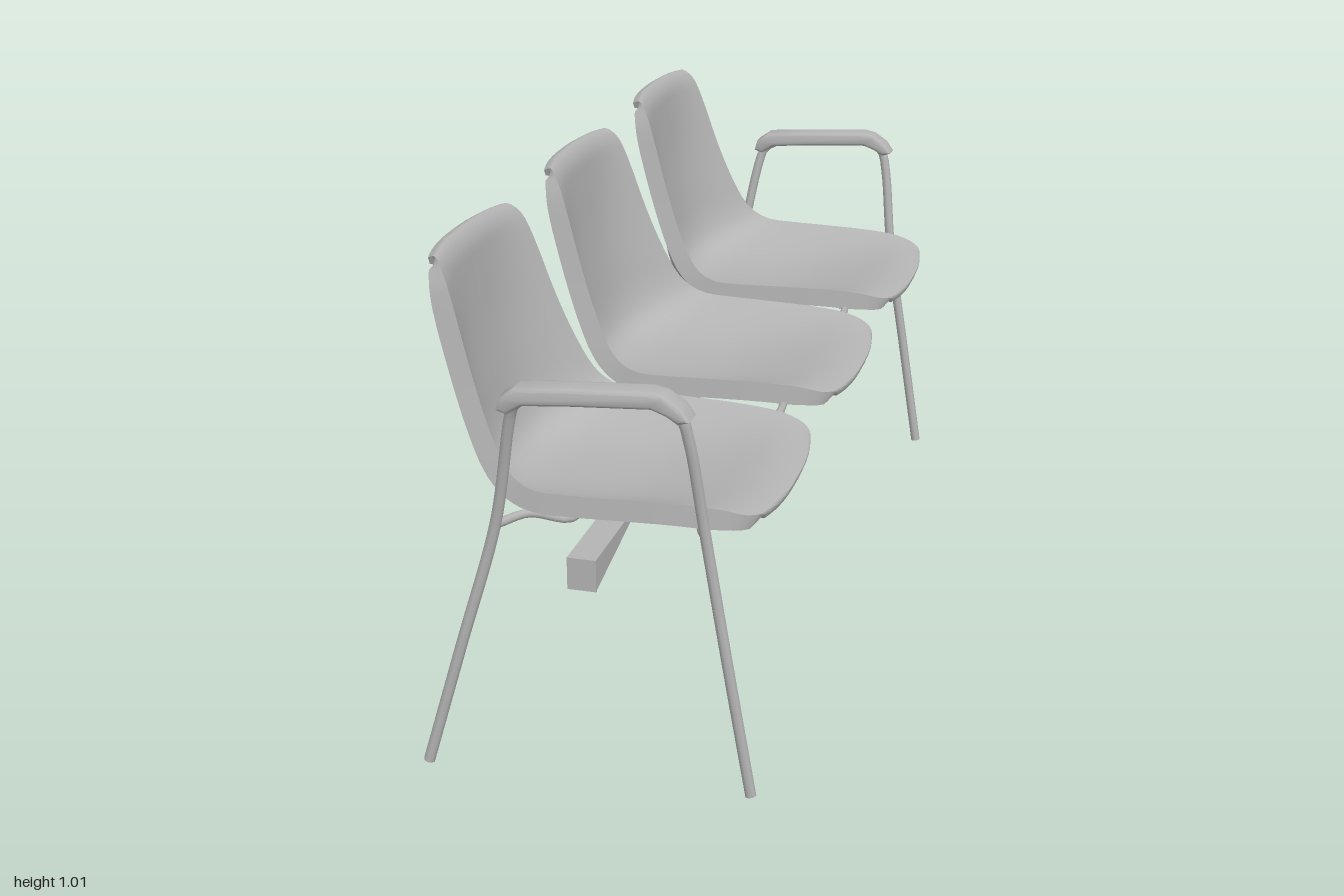
import * as THREE from 'three';
import { toCreasedNormals } from 'three/addons/utils/BufferGeometryUtils.js';

const grey = new THREE.MeshStandardMaterial({ color: 0xb4b4b4, side: THREE.DoubleSide });
grey.name = 'grey';

const V = (x, y, z) => new THREE.Vector3(x, y, z);

function part(name, geometry) {
  const mesh = new THREE.Mesh(geometry, grey);
  mesh.name = name;
  return mesh;
}

function rod(name, points, radius = 0.01, segments = 40) {
  const curve = new THREE.CatmullRomCurve3(points.map(p => V(...p)), false, 'centripetal');
  return part(name, new THREE.TubeGeometry(curve, segments, radius, 8));
}

// Moulded shell: sections from the rolled top lip down the back to the front lip.
// Each row: centre x, centre y, rim x, rim y, half width.
function shellGeometry() {
  const rows = [
    [-0.348, 1.0, -0.33, 0.995, 0.17], [-0.325, 1.01, -0.308, 1.004, 0.188],
    [-0.306, 0.985, -0.285, 0.98, 0.21], [-0.3, 0.94, -0.265, 0.93, 0.222],
    [-0.29, 0.82, -0.225, 0.8, 0.24], [-0.275, 0.7, -0.188, 0.7, 0.257],
    [-0.26, 0.6, -0.155, 0.635, 0.27], [-0.238, 0.55, -0.125, 0.606, 0.278],
    [-0.19, 0.525, -0.09, 0.592, 0.28], [-0.08, 0.52, -0.03, 0.589, 0.277],
    [0.05, 0.526, 0.06, 0.589, 0.27], [0.18, 0.548, 0.18, 0.588, 0.26],
    [0.27, 0.565, 0.26, 0.582, 0.25], [0.32, 0.564, 0.305, 0.57, 0.235],
    [0.347, 0.555, 0.328, 0.56, 0.2], [0.343, 0.54, 0.326, 0.545, 0.185],
  ];
  const centre = new THREE.CatmullRomCurve3(rows.map(r => V(r[0], r[1], 0)), false, 'centripetal');
  const rim = new THREE.CatmullRomCurve3(rows.map(r => V(r[2], r[3], r[4])), false, 'centripetal');
  const M = 45, N = 16, loop = 2 * N + 4, pos = [], idx = [];
  for (let i = 0; i <= M; i++) {
    const t = i / M;
    const c = centre.getPoint(t), r = rim.getPoint(t);
    const tc = centre.getTangent(t), tr = rim.getTangent(t);
    tr.z = 0;
    tr.normalize();
    const flange = 0.012 + 0.03 * Math.min(1, Math.sin(Math.PI * t) * 1.6);
    const point = (v, depth, inset) => {
      const k = Math.pow(Math.abs(v), 2.6);
      const out = tc.clone().lerp(tr, k).normalize();
      pos.push(c.x + (r.x - c.x) * k + out.y * depth,
        c.y + (r.y - c.y) * k - out.x * depth, (r.z + inset) * v);
    };
    for (let j = 0; j <= N; j++) point(-1 + 2 * j / N, 0, 0);
    point(1, flange, 0.004);
    for (let j = N; j >= 0; j--) point(-1 + 2 * j / N, 0.012, -0.01);
    point(-1, flange, 0.004);
  }
  for (let i = 0; i < M; i++) for (let j = 0; j < loop; j++) {
    const a = i * loop + j, b = i * loop + (j + 1) % loop;
    idx.push(a, b, a + loop, b, b + loop, a + loop);
  }
  // Close the two lips
  for (let j = 0; j < N; j++) {
    const a = j, b = j + 1, d = 2 * N + 2 - j, e = d - 1, o = M * loop;
    idx.push(a, d, b, b, d, e, o + a, o + b, o + d, o + b, o + e, o + d);
  }
  const g = new THREE.BufferGeometry();
  g.setAttribute('position', new THREE.Float32BufferAttribute(pos, 3));
  g.setIndex(idx);
  return toCreasedNormals(g, 0.9);
}

// Armrest pad: side outline with bevelled edges
function armrestGeometry() {
  const outline = [[-0.132, 0.778], [-0.127, 0.795], [-0.1, 0.814], [0, 0.822], [0.15, 0.831],
    [0.175, 0.826], [0.205, 0.806], [0.217, 0.79], [0.205, 0.787], [0.185, 0.8], [0.155, 0.811],
    [0, 0.801], [-0.09, 0.793], [-0.12, 0.774]];
  const shape = new THREE.Shape(outline.map(p => new THREE.Vector2(...p)));
  const g = new THREE.ExtrudeGeometry(shape, {
    depth: 0.032, bevelEnabled: true, bevelThickness: 0.011, bevelSize: 0.007, bevelSegments: 3,
  });
  g.translate(0, 0, -0.016);
  return toCreasedNormals(g, 0.8);
}

export function createModel() {
  const model = new THREE.Group();
  model.name = 'threeSeatBench';
  const pitch = 0.65;
  const shell = shellGeometry();

  // Seats, each with a clamp and stays below
  for (const z of [-pitch, 0, pitch]) {
    const seat = new THREE.Group();
    seat.name = 'seat';
    seat.position.z = z;
    seat.add(part('seatShell', shell));

    const clampGeometry = new THREE.CylinderGeometry(0.085, 0.055, 0.06, 4, 1).rotateY(Math.PI / 4);
    const clamp = part('clamp', toCreasedNormals(clampGeometry, 0.5));
    clamp.position.set(-0.015, 0.482, 0);
    clamp.scale.x = 0.65;
    seat.add(clamp);

    for (const s of [-1, 1]) {
      seat.add(rod('rearStay', [[-0.17, 0.513, s * 0.15], [-0.13, 0.488, s * 0.1],
        [-0.07, 0.483, s * 0.05], [-0.03, 0.46, 0]], 0.01, 14));
    }
    model.add(seat);
  }

  // Front and rear rails bow inwards and down beneath each seat
  const front = [[0.235, 0.545, -0.93]], rear = [[-0.172, 0.515, -0.93], [-0.13, 0.512, -0.86]];
  for (const z of [-pitch, 0, pitch]) {
    front.push([0.225, 0.54, z - 0.26], [0.205, 0.531, z - 0.2], [0.1, 0.505, z - 0.12],
      [0.025, 0.465, z - 0.03], [0.025, 0.465, z + 0.03],
      [0.1, 0.505, z + 0.12], [0.205, 0.531, z + 0.2], [0.225, 0.54, z + 0.26]);
    rear.push([-0.055, 0.533, z - (z < 0 ? 0.2 : 0.27)], [-0.05, 0.5, z - 0.13], [-0.045, 0.47, z - 0.04],
      [-0.045, 0.47, z + 0.04], [-0.05, 0.5, z + 0.13], [-0.055, 0.533, z + (z > 0 ? 0.2 : 0.27)]);
  }
  for (const p of rear) if (Math.abs(Math.abs(p[2]) - 0.85) < 0.005) p[1] = 0.505;
  front.push([0.235, 0.545, 0.93]);
  rear.push([-0.13, 0.512, 0.86], [-0.172, 0.515, 0.93]);
  model.add(rod('frontRail', front, 0.009, 150), rod('rearRail', rear, 0.009, 150));

  // Leg frames, armrests and beam ends
  const pad = armrestGeometry();
  for (const s of [-1, 1]) {
    model.add(rod('legFrame', [[-0.32, 0, s * 0.962], [-0.246, 0.26, s * 0.946], [-0.172, 0.52, s * 0.931],
      [-0.128, 0.74, s * 0.955], [-0.115, 0.777, s * 0.963], [-0.08, 0.796, s * 0.969],
      [0.05, 0.806, s * 0.97], [0.17, 0.808, s * 0.969], [0.2, 0.79, s * 0.965], [0.214, 0.74, s * 0.957],
      [0.238, 0.54, s * 0.931], [0.281, 0.27, s * 0.928], [0.325, 0, s * 0.923]], 0.0115, 90));
    const arm = part('armrest', pad);
    arm.position.z = s * 0.971;
    model.add(arm);

    const topPlate = part('beamTop', new THREE.BoxGeometry(0.058, 0.004, 0.32));
    topPlate.position.set(-0.013, 0.448, s * 0.745);
    const endPlate = part('beamEnd', new THREE.BoxGeometry(0.058, 0.065, 0.004));
    endPlate.position.set(-0.013, 0.4165, s * 0.903);
    model.add(topPlate, endPlate);
  }

  // Tapered gusset on one beam end
  const gusset = new THREE.Shape([[-0.905, 0.384], [-0.905, 0.45], [-0.59, 0.45]].map(p => new THREE.Vector2(...p)));
  const side = part('beamSide', new THREE.ShapeGeometry(gusset).rotateY(Math.PI / 2));
  side.position.x = 0.015;
  model.add(side);
  return model;
}
